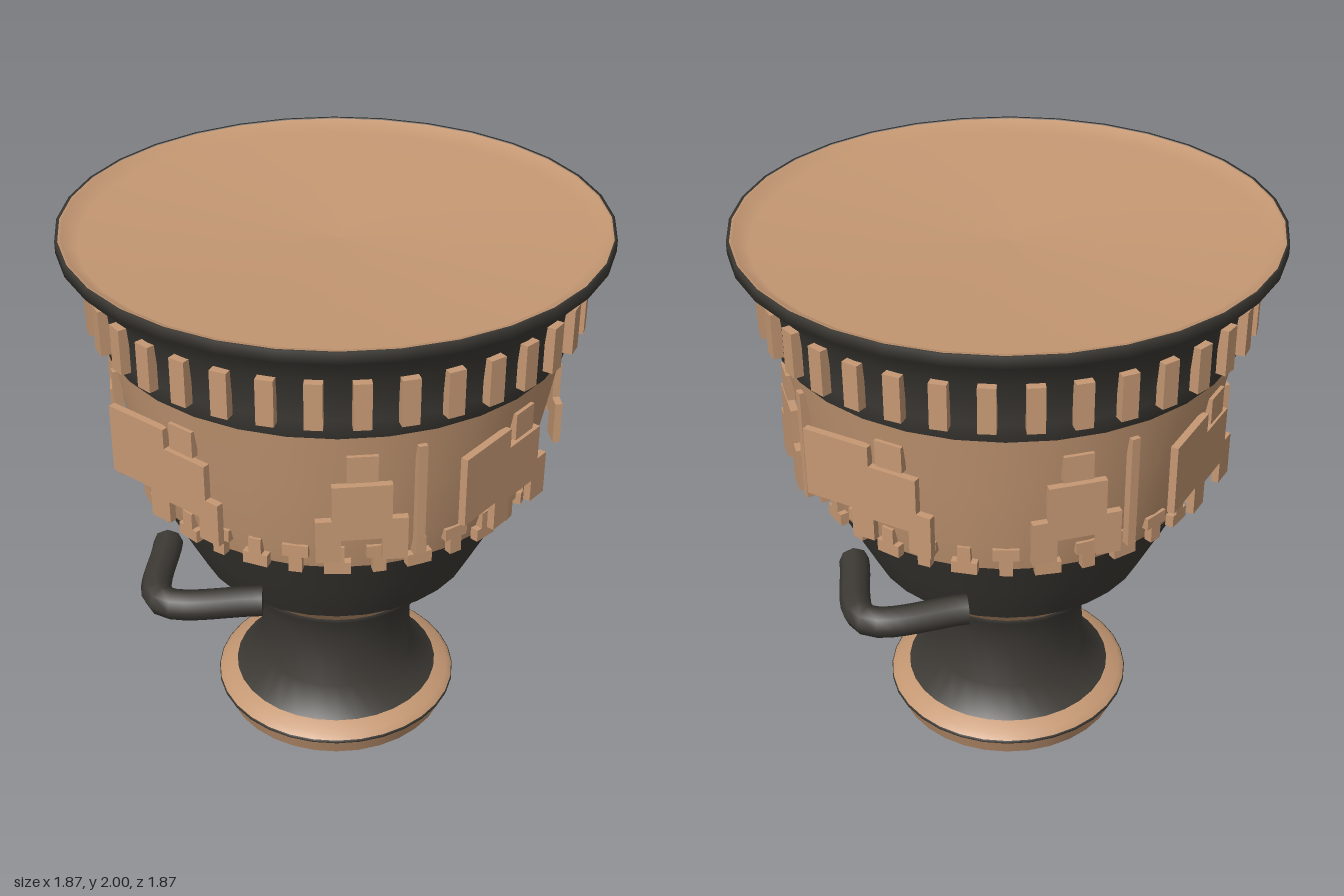
import * as THREE from 'three';

export function createModel() {
  const group = new THREE.Group();
  const clay = new THREE.MeshStandardMaterial({ name: 'clay', color: 0xc59873 });
  const glaze = new THREE.MeshStandardMaterial({ name: 'darkGlaze', color: 0x3e3b36 });

  // Turned sections, profiles as [radius, height] from bottom to top
  const turned = (name, material, points) => {
    const geometry = new THREE.LatheGeometry(points.map(([r, y]) => new THREE.Vector2(r, y)), 32);
    const mesh = new THREE.Mesh(geometry, material);
    mesh.name = name;
    group.add(mesh);
  };
  turned('footUnderside', clay, [[0, 0], [0.43, 0]]);
  turned('footBase', clay, [[0.43, 0], [0.458, 0.07]]);
  turned('footGroove', glaze, [[0.455, 0.068], [0.462, 0.07], [0.462, 0.08], [0.455, 0.082]]);
  turned('footTop', clay, [[0.46, 0.08], [0.44, 0.1], [0.385, 0.122]]);
  turned('stem', glaze, [[0.39, 0.12], [0.295, 0.21], [0.282, 0.43], [0.365, 0.565], [0.34, 0.568]]);
  turned('lowerBand', clay, [[0.345, 0.565], [0.506, 0.713]]);
  turned('lowerBowl', glaze, [[0.5, 0.711], [0.512, 0.713], [0.6, 0.89], [0.678, 1.05]]);
  turned('pictureBand', clay, [[0.678, 1.05], [0.71, 1.17], [0.755, 1.4], [0.796, 1.63]]);
  turned('rim', glaze, [[0.79, 1.628], [0.807, 1.63], [0.818, 1.7], [0.832, 1.85], [0.935, 1.96], [0.935, 2], [0.925, 2]]);

  // Rounded lip and shallow dished inside
  turned('inside', clay, [[0.93, 1.995], [0.915, 2], [0.865, 1.965], [0, 1.93]].map(([r, y]) => [r, y]));

  // Upright plate, centred at x on the tangent plane of its group
  const plate = (parent, name, w, y0, y1, depth, radius, x = 0) => {
    const mesh = new THREE.Mesh(new THREE.BoxGeometry(w, y1 - y0, depth), clay);
    mesh.name = name;
    mesh.position.set(x, (y0 + y1) / 2, radius);
    parent.add(mesh);
  };
  // Group turned by an angle in degrees from the front
  const turnedGroup = (name, degrees) => {
    const g = new THREE.Group();
    g.name = name;
    g.rotation.y = THREE.MathUtils.degToRad(degrees);
    group.add(g);
    return g;
  };

  // Tongue pattern under the rim
  for (let i = 0; i < 36; i++) {
    plate(turnedGroup('rimTongues', i * 10), 'tongue', 0.058, 1.69, 1.85, 0.035, 0.84);
  }

  // Alternating upright and inverted T pattern
  for (let i = 0; i < 32; i++) {
    const key = turnedGroup('keyPattern', i * 11.25);
    const barBottom = i % 2 ? 1.11 : 1.05;
    plate(key, 'keyStem', 0.045, 1.05, 1.155, 0.03, 0.7);
    plate(key, 'keyBar', 0.088, barBottom, barBottom + 0.045, 0.03, 0.7);
  }

  // Eight stepped figures, alternately with a shield and a staff
  for (let i = 0; i < 8; i++) {
    const angle = 5.6 + i * 45;
    const figure = turnedGroup('figure', angle);
    const part = (name, w, y0, y1, x) => plate(figure, name, w, y0, y1, 0.026, 0.779, x);
    part('head', 0.1, 1.458, 1.553);
    part('torso', 0.195, 1.315, 1.443);
    part('hips', 0.3, 1.24, 1.315);
    for (const s of [-1, 1]) part('leg', 0.083, 1.157, 1.24, s * 0.1085);
    if (i % 2) plate(turnedGroup('staff', angle + 14), 'staffPole', 0.03, 1.16, 1.57, 0.03, 0.785);
    else part('shield', 0.245, 1.265, 1.515, -0.2);
  }

  // Looped side handles
  const curve = new THREE.CatmullRomCurve3([
    new THREE.Vector3(0.607, 0.855, 0.247),
    new THREE.Vector3(0.847, 0.855, 0),
    new THREE.Vector3(0.607, 0.855, -0.247),
  ]);
  const tube = new THREE.TubeGeometry(curve, 16, 0.053, 8);
  for (const turn of [0, Math.PI]) {
    const handle = new THREE.Group();
    handle.name = 'handle';
    handle.add(new THREE.Mesh(tube, glaze));
    for (const [t, outward] of [[0, -1], [1, 1]]) {
      const cap = new THREE.Mesh(new THREE.CircleGeometry(0.053, 8), glaze);
      cap.name = 'handleEnd';
      cap.position.copy(curve.getPoint(t));
      cap.lookAt(curve.getTangent(t).multiplyScalar(outward).add(cap.position));
      handle.add(cap);
    }
    handle.rotation.y = turn;
    group.add(handle);
  }
  return group;
}
